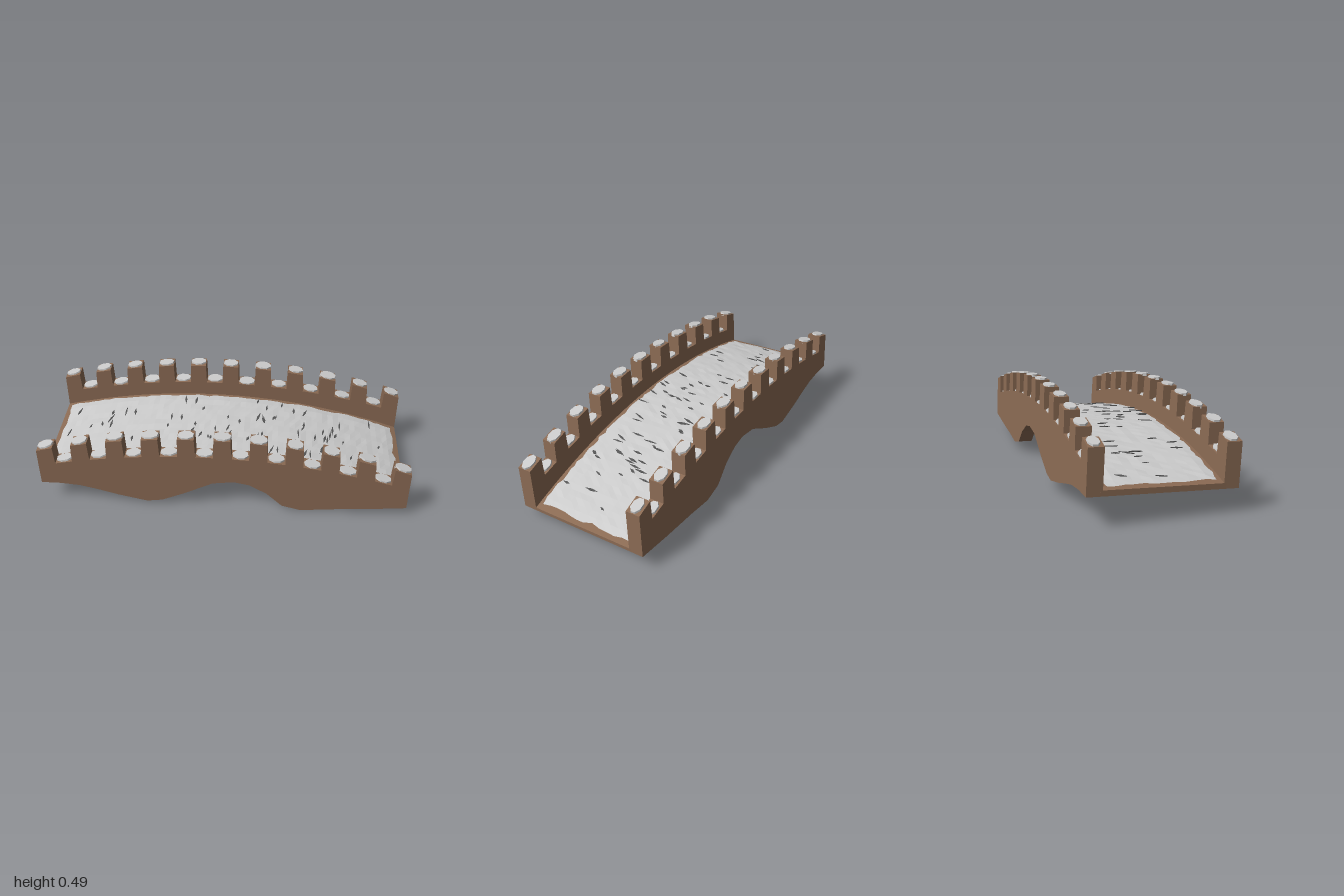
import * as THREE from 'three';
import { mergeGeometries } from 'three/addons/utils/BufferGeometryUtils.js';

const L = 0.953;            // half length
const W = 0.36;             // half width
const T = 0.075;            // parapet thickness
const MERLONS = 11, MW = 0.092;
const PITCH = (2 * L - MW) / (MERLONS - 1);

// arched height rules along the bridge
const arch = (mid, tilt, rise) => u => mid - tilt * (u / L) - rise * (u / L) ** 2;
const merlonTop = arch(0.47, 0.026, 0.142);
const gapTop = u => merlonTop(u) - 0.113 + 0.012 * (u / L) ** 2;
const deckTop = arch(0.275, 0.0375, 0.1475);

// underside with two piers and a central arch
const underside = [
  [-L, 0.138], [-0.85, 0.138], [-0.75, 0.128], [-0.65, 0.103], [-0.55, 0.073], [-0.4, 0.038],
  [-0.32, 0.05], [-0.2, 0.105], [-0.05, 0.185], [0.06, 0.2], [0.14, 0.183], [0.23, 0.128],
  [0.31, 0.048], [0.41, 0.021], [0.56, 0.038], [0.76, 0.053], [L, 0.073],
];

let seed = 7;
const rnd = () => ((seed = (seed * 16807) % 2147483647) / 2147483647);
const jit = a => (rnd() - 0.5) * 2 * a;

const stone = new THREE.MeshStandardMaterial({ color: 0x8b6b54, flatShading: true });
const grey = new THREE.MeshStandardMaterial({ color: 0xcccccc, flatShading: true });
const dark = new THREE.MeshStandardMaterial({ color: 0x555555, flatShading: true });

function mesh(name, geometry, material) {
  const m = new THREE.Mesh(geometry, material);
  m.name = name;
  return m;
}

function extrude(points, depth, zMid) {
  const shape = new THREE.Shape(points.map(p => new THREE.Vector2(...p)));
  return new THREE.ExtrudeGeometry(shape, { depth, bevelEnabled: false }).translate(0, 0, zMid - depth / 2);
}

// crenellated side wall
function wallGeometry(z) {
  const pts = underside.slice();
  for (let i = MERLONS - 1; i >= 0; i--) {
    const a = -L + i * PITCH, b = a + MW;
    if (i < MERLONS - 1) pts.push([b, gapTop(b)]);
    pts.push([b - 0.004, merlonTop(b)], [a + 0.004, merlonTop(a)]);
    if (i > 0) pts.push([a, gapTop(a)]);
  }
  return extrude(pts, T, z);
}

// irregular flat stones laid on every merlon and in every gap
function capGeometry(z) {
  const parts = [];
  for (let i = 0; i < 2 * MERLONS - 1; i++) {
    const u = -L + MW / 2 + (i * PITCH) / 2;
    const f = i % 2 ? gapTop : merlonTop;
    const g = new THREE.CylinderGeometry(0.5, 0.54, 0.016, 8).rotateY(Math.PI / 8 + jit(0.15));
    g.scale(0.085 + jit(0.005), 1, 0.062 + jit(0.005));
    g.rotateX(jit(0.04));
    g.rotateZ(Math.atan((f(u + 0.01) - f(u - 0.01)) / 0.02));
    parts.push(g.translate(u, f(u), z + jit(0.004)));
  }
  return mergeGeometries(parts);
}

// deck slab, its soffit recessed above the wall bottoms
function spanGeometry() {
  const pts = underside.map(([u, y]) => [u, y + 0.04 * Math.min(1, (L - Math.abs(u)) / 0.3)]);
  for (let i = 24; i >= 0; i--) {
    const u = -L + (2 * L * i) / 24;
    pts.push([u, deckTop(u)]);
  }
  return extrude(pts, 2 * (W - T) + 0.02, 0);
}

// worn paving sheet with wavy borders
function pavingGeometry() {
  const half = W - T - 0.02;
  const g = new THREE.PlaneGeometry(2 * (L - 0.03), 2 * half, 60, 12).rotateX(-Math.PI / 2);
  const p = g.attributes.position;
  for (let i = 0; i < p.count; i++) {
    const edge = Math.abs(p.getZ(i)) > half - 0.001 || Math.abs(p.getX(i)) > L - 0.031;
    const u = p.getX(i) + (edge ? jit(0.008) : 0);
    const z = p.getZ(i) + (edge ? jit(0.007) : 0);
    p.setXYZ(i, u, deckTop(u) + (edge ? 0.002 : 0.006 + jit(0.002)), z);
  }
  g.computeVertexNormals();
  return g;
}

// narrow dark cracks running across the paving
function crackGeometry() {
  const parts = [];
  for (let i = 0; i < 75; i++) {
    const u = jit(0.88), z = jit(0.24);
    const g = new THREE.CylinderGeometry(0.5, 0.5, 0.004, 4);
    g.scale(0.008 + rnd() * 0.006, 1, 0.03 + rnd() * 0.05);
    g.rotateY(-0.15 + jit(0.25));
    g.rotateZ(Math.atan((deckTop(u + 0.01) - deckTop(u - 0.01)) / 0.02));
    parts.push(g.translate(u, deckTop(u) + 0.0075, z));
  }
  return mergeGeometries(parts);
}

export function createModel() {
  const bridge = new THREE.Group();
  bridge.name = 'bridge';
  bridge.add(mesh('span', spanGeometry(), stone));
  bridge.add(mesh('paving', pavingGeometry(), grey));
  bridge.add(mesh('pavingCracks', crackGeometry(), dark));
  for (const [side, s] of [['front', 1], ['back', -1]]) {
    const z = s * (W - T / 2);
    bridge.add(mesh(side + 'Wall', wallGeometry(z), stone));
    bridge.add(mesh(side + 'CapStones', capGeometry(z), grey));
  }
  // turned on plan and tipped slightly toward the front
  bridge.rotation.set(0.05, -0.168, 0, 'YXZ');
  bridge.position.z = -0.01;
  const model = new THREE.Group();
  model.add(bridge);
  return model;
}
